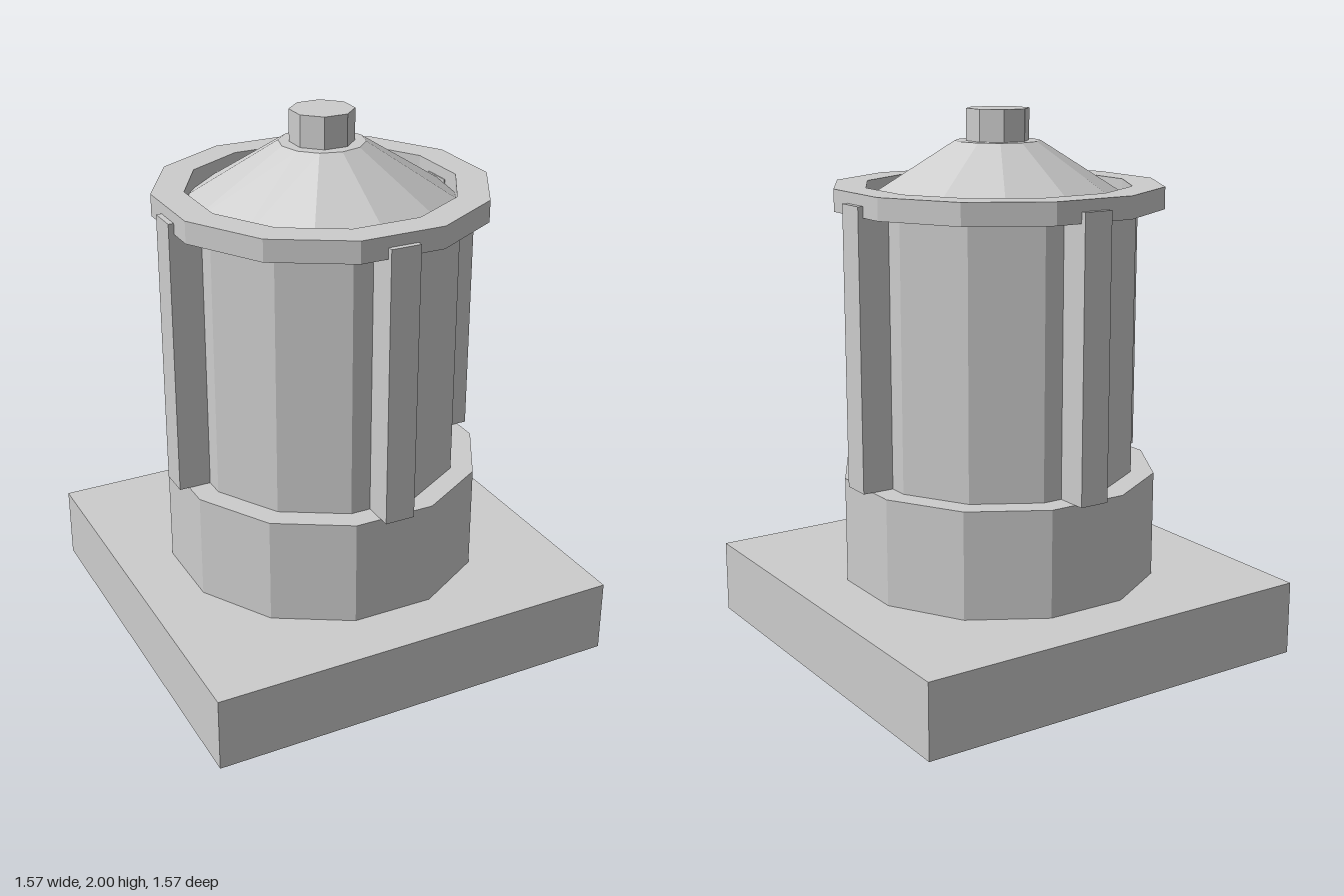
import * as THREE from 'three';

export function createModel() {
  const model = new THREE.Group();
  model.name = 'pedestalTower';
  const stone = new THREE.MeshStandardMaterial({ color: 0xcccccc, flatShading: true });
  stone.name = 'grey stone';

  const add = (name, geometry, y = 0) => {
    const mesh = new THREE.Mesh(geometry, stone);
    mesh.name = name;
    mesh.position.y = y;
    model.add(mesh);
    return mesh;
  };

  // Faceted drum between two heights, turned by half a side when a flat faces the front
  const drum = (name, rTop, rBottom, y0, y1, sides, flatFront = true) => {
    const geometry = new THREE.CylinderGeometry(rTop, rBottom, y1 - y0, sides);
    if (flatFront) geometry.rotateY(Math.PI / sides);
    return add(name, geometry, (y0 + y1) / 2);
  };

  // Square plinth and stacked drums
  add('plinth', new THREE.BoxGeometry(1.565, 0.275, 1.565), 0.1375);
  drum('lowerDrum', 0.59, 0.59, 0.275, 0.67, 12);
  drum('body', 0.505, 0.505, 0.67, 1.65, 12);

  // Open rim around the roof
  const rimProfile = [[0.49, 1.65], [0.607, 1.65], [0.607, 1.73], [0.49, 1.73], [0.49, 1.65]]
    .map(([r, y]) => new THREE.Vector2(r, y));
  add('rim', new THREE.LatheGeometry(rimProfile, 12, Math.PI / 12));

  // Conical roof, its corners facing the front, and eight-sided knob
  drum('roof', 0.155, 0.525, 1.65, 1.885, 12, false);
  drum('knob', 0.116, 0.116, 1.885, 2, 8);

  // Four upright ribs
  for (let i = 0; i < 4; i++) {
    const geometry = new THREE.BoxGeometry(0.112, 1.02, 0.137);
    geometry.translate(0, 0, 0.538);
    geometry.rotateY(i * Math.PI / 2);
    add('rib' + (i + 1), geometry, 1.18);
  }

  return model;
}
